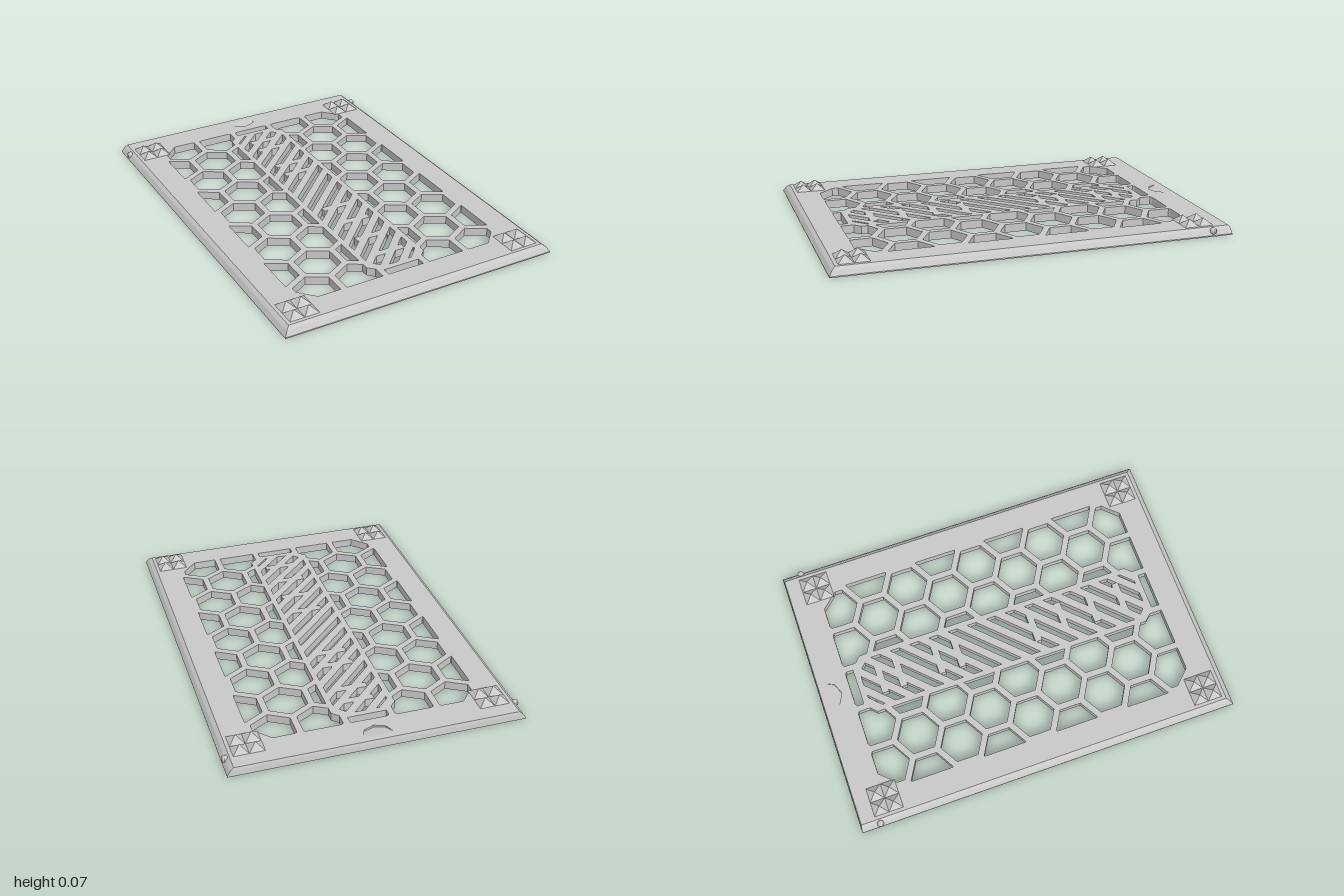
import * as THREE from 'three';

const H = 0.042; // panel thickness

// Keep the part of a convex polygon of [x, z] points where a*x + b*z <= c
function clip(poly, a, b, c) {
  const out = [];
  poly.forEach((p, i) => {
    const q = poly[(i + 1) % poly.length];
    const dp = a * p[0] + b * p[1] - c, dq = a * q[0] + b * q[1] - c;
    if (dp <= 0) out.push(p);
    if ((dp < 0 && dq > 0) || (dp > 0 && dq < 0)) {
      const t = dp / (dp - dq);
      out.push([p[0] + (q[0] - p[0]) * t, p[1] + (q[1] - p[1]) * t]);
    }
  });
  return out;
}

const toPoints = poly => poly.map(([x, z]) => new THREE.Vector2(x, -z));
const bigEnough = poly => poly.length > 2 && Math.abs(THREE.ShapeUtils.area(toPoints(poly))) > 0.0004;

// Extrude an [x, z] polygon (running -x-z, -x+z, +x+z, +x-z) upwards from y = 0
function slab(poly, holes, steps = 1) {
  const shape = new THREE.Shape(toPoints(poly));
  shape.holes = holes.map(h => new THREE.Path(toPoints(h)));
  return new THREE.ExtrudeGeometry(shape, { depth: H, steps, bevelEnabled: false }).rotateX(-Math.PI / 2);
}

function moveVertices(geo, rule) {
  const pos = geo.attributes.position, v = new THREE.Vector3();
  for (let i = 0; i < pos.count; i++) {
    v.fromBufferAttribute(pos, i);
    rule(v);
    pos.setXYZ(i, v.x, v.y, v.z);
  }
  geo.computeVertexNormals();
  return geo;
}

// Rectangle with cut corners
const octagon = (x, z, c) => [[c - x, -z], [-x, c - z], [-x, z - c], [c - x, z],
  [x - c, z], [x, z - c], [x, c - z], [x - c, -z]];
const stripField = octagon(0.132, 0.765, 0.06);

// Honeycomb openings, trimmed to the frame, its corner tabs and the middle strip
function honeycombHoles() {
  const pitch = 0.2245, radius = 0.111, holes = [];
  for (let j = -4; j <= 4; j++) {
    const odd = j % 2 !== 0, end = Math.abs(j) === 4;
    for (let i = -3; i <= 2; i++) {
      const cx = (i + (odd ? 0.5 : 0)) * pitch, cz = 0.003 + j * pitch * 0.866;
      let hex = [];
      for (let k = 0; k < 6; k++) {
        const t = k * Math.PI / 3;
        hex.push([cx + radius * Math.sin(t), cz + radius * Math.cos(t)]);
      }
      for (const s of [-1, 1]) {
        hex = clip(hex, s, 0, 0.565);
        hex = clip(hex, 0, s, 0.837);
        for (const r of [-1, 1]) hex = clip(hex, s * 0.09, r * 0.085, 0.1135);
      }
      if (i === 0 && !odd) hex = clip(hex, 0, j < 0 ? 1 : -1, -0.795);
      else if (!end) hex = clip(hex, -Math.sign(cx), 0, -0.16);
      if (bigEnough(hex)) holes.push(hex);
    }
  }
  return holes;
}

// Diagonal slots of the middle strip
function slotHoles() {
  const period = 0.106, half = 0.025, holes = [];
  for (let k = -9; k <= 9; k++) {
    const slot = clip(clip(stripField, 1, 1, k * period + half), -1, -1, half - k * period);
    if (bigEnough(slot)) holes.push(slot);
  }
  return holes;
}

export function createModel() {
  const group = new THREE.Group();
  const grey = new THREE.MeshStandardMaterial({ color: 0xc8c8c8 });
  grey.name = 'grey plastic';
  grey.flatShading = true;
  const add = (name, geo, x = 0, y = 0, z = 0) => {
    const mesh = new THREE.Mesh(geo, grey);
    mesh.name = name;
    mesh.position.set(x, y, z);
    group.add(mesh);
  };

  // Perforated panel, its rim rounded off in two facets and almost square at the back
  const notch = [[-0.075, -0.958], [-0.053, -0.908], [0, -0.886], [0.053, -0.908], [0.075, -0.958]];
  const outline = [[-0.723, -1], [-0.723, 1], [0.723, 1], [0.723, -1]];
  const panel = slab(outline, [...honeycombHoles(), ...slotHoles(), notch], 3);
  const heights = [0, 0.006, 0.028, H], insets = [0, 0, 0.014, 0.032];
  add('panel', moveVertices(panel, v => {
    const layer = Math.round(v.y / H * 3);
    v.y = heights[layer];
    if (Math.abs(v.x) > 0.7) v.x -= Math.sign(v.x) * insets[layer];
    if (v.z > 0.99) v.z -= insets[layer];
    if (v.z < -0.99) v.z += insets[layer] * 0.25;
  }));

  // Gently sloping floor of the thumb notch
  add('thumbNotchFloor', moveVertices(slab(notch, []), v => {
    if (v.y > 0.01) v.y = H - 0.012 * (v.z + 0.958) / 0.072;
  }));

  // Rim of the middle strip, and plain cross ribs tying its diagonal bars together
  add('stripRim', slab(octagon(0.16, 0.795, 0.055), [stripField]));
  for (const z of [-0.67, -0.57, -0.36, -0.25, 0.17, 0.33, 0.5, 0.66]) {
    add('crossRib', new THREE.BoxGeometry(0.17, H, 0.036), 0.01, H / 2, z);
  }

  // Four pyramid studs at each corner
  const stud = new THREE.ConeGeometry(0.0375 * Math.SQRT2, 0.032, 4).rotateY(Math.PI / 4);
  for (const side of [-1, 1]) {
    for (const x of [0.562, 0.637]) {
      for (const z of [-0.88, -0.805, 0.838, 0.913]) add('stud', stud, side * x, H + 0.016, z);
    }
    // Snap bump on the side edge
    add('snapBump', new THREE.SphereGeometry(0.018, 10, 8), side * 0.71, 0.025, -0.9);
  }
  return group;
}
